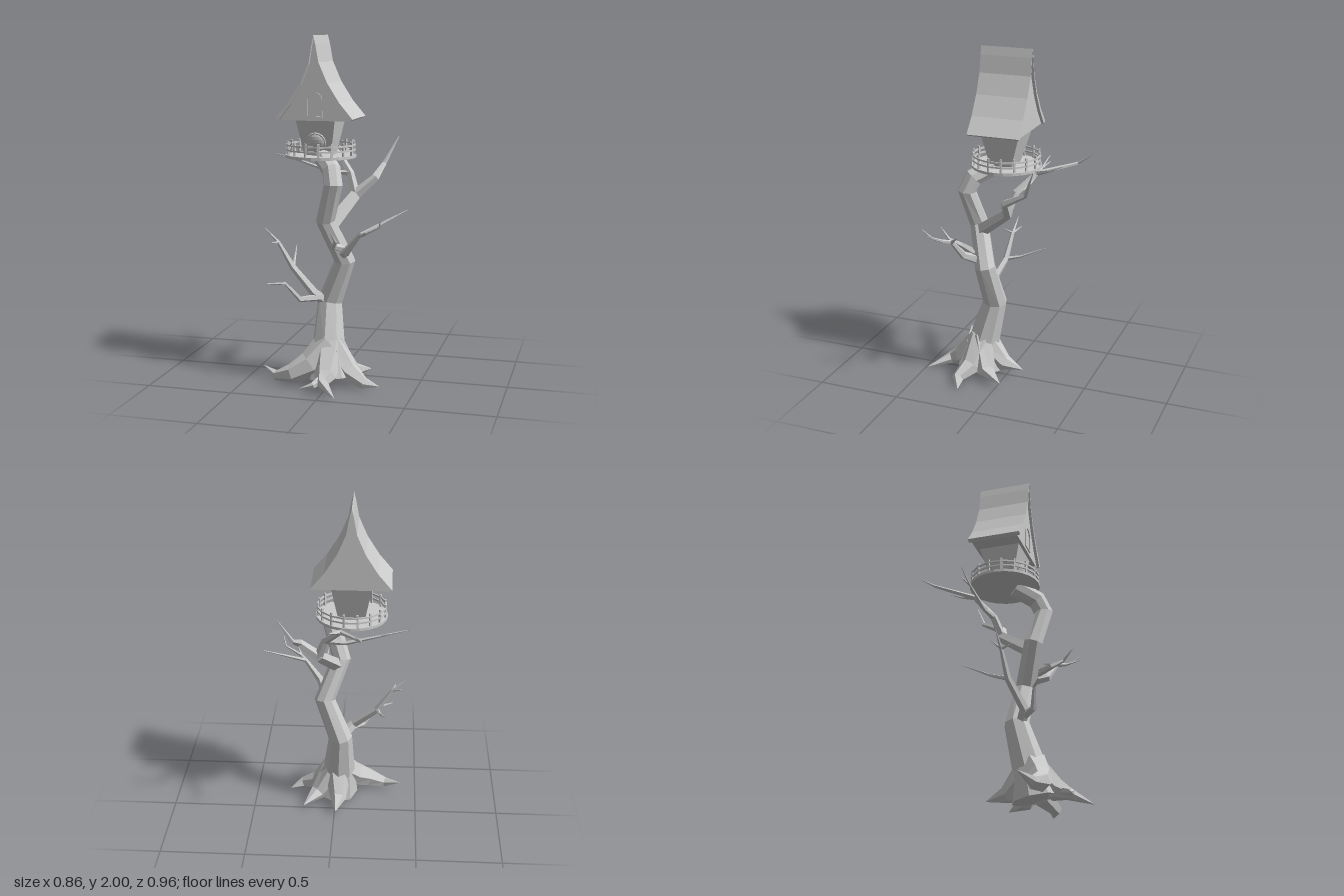
import * as THREE from 'three';

const mat = new THREE.MeshStandardMaterial({ color: 0xcccccc, flatShading: true });

function add(parent, name, geometry, x = 0, y = 0, z = 0) {
  const mesh = new THREE.Mesh(geometry, mat);
  mesh.name = name;
  mesh.position.set(x, y, z);
  parent.add(mesh);
  return mesh;
}

// Faceted limb through [x, y, z] points, closed at both ends; radiusAt(t) gives its thickness
function limb(points, radiusAt, sides) {
  const centers = points.map(p => new THREE.Vector3(...p));
  const q = new THREE.Quaternion();
  const pos = [], index = [];
  const last = centers.length - 1;
  centers.forEach((c, i) => {
    const tangent = new THREE.Vector3();
    if (i > 0) tangent.add(c.clone().sub(centers[i - 1]).normalize());
    if (i < last) tangent.add(centers[i + 1].clone().sub(c).normalize());
    const current = new THREE.Vector3(0, 1, 0).applyQuaternion(q);
    q.premultiply(new THREE.Quaternion().setFromUnitVectors(current, tangent.normalize()));
    const r = radiusAt(i / last, c.y);
    for (let j = 0; j < sides; j++) {
      const a = (j / sides) * Math.PI * 2;
      const v = new THREE.Vector3(Math.cos(a) * r, 0, Math.sin(a) * r).applyQuaternion(q).add(c);
      pos.push(v.x, v.y, v.z);
    }
  });
  pos.push(...centers[0].toArray(), ...centers[last].toArray());
  const c0 = (last + 1) * sides, c1 = c0 + 1;
  for (let j = 0; j < sides; j++) {
    const k = (j + 1) % sides;
    for (let i = 0; i < last; i++) {
      const a = i * sides + j, b = i * sides + k, c = a + sides, d = b + sides;
      index.push(a, c, d, a, d, b);
    }
    index.push(c0, j, k, c1, last * sides + k, last * sides + j);
  }
  const g = new THREE.BufferGeometry();
  g.setAttribute('position', new THREE.Float32BufferAttribute(pos, 3));
  g.setIndex(index);
  g.computeVertexNormals();
  return g;
}

function buildTree(tree) {
  // Trunk flares towards the ground
  const trunkRadius = (t, y) => 0.055 + 0.02 * Math.max(0, 1 - y) + 0.075 * Math.exp(-y * 5);
  add(tree, 'trunk', limb([
    [0, 0.04, 0.18], [-0.02, 0.2, 0.155], [-0.03, 0.47, 0.085], [0.065, 0.72, 0.11],
    [-0.03, 0.96, 0.185], [0.03, 1.17, 0.235], [0.01, 1.25, 0.2], [-0.07, 1.31, 0.09]], trunkRadius, 8));

  // Pointed limbs; each returns its points so that forks can start from them
  const pointed = (name, sides) => (radius, ...points) => {
    add(tree, name, limb(points, t => Math.max(0.002, radius * (1 - t) ** 0.85), sides));
    return points;
  };

  const root = pointed('root', 6);
  const base = [-0.01, 0.22, 0.16];
  root(0.1, base, [-0.11, 0.12, 0.23], [-0.21, 0.07, 0.265], [-0.31, 0.045, 0.25], [-0.4, 0.08, 0.195]);
  const frontRoot = root(0.09, base, [0, 0.08, 0.3], [0, 0.055, 0.365], [0.1, 0.015, 0.48]);
  root(0.035, frontRoot[1], [-0.05, 0.05, 0.39], [-0.125, 0.03, 0.405]);
  root(0.09, base, [0.11, 0.08, 0.19], [0.21, 0.035, 0.235], [0.29, 0.012, 0.2]);
  root(0.09, base, [0.11, 0.06, 0.09], [0.19, 0.04, -0.03]);
  root(0.09, base, [-0.02, 0.07, 0.02], [-0.01, 0.05, -0.1]);

  const branch = pointed('branch', 5);
  // Upper branch with forks behind the platform
  const upper = branch(0.043, [-0.01, 0.92, 0.17], [0.09, 1.08, -0.04], [0.2, 1.18, -0.07], [0.225, 1.25, -0.2], [0.3, 1.41, -0.27]);
  const back = branch(0.028, upper[1], [0.05, 1.2, -0.08], [-0.04, 1.3, -0.17], [-0.16, 1.35, -0.38], [-0.135, 1.42, -0.475]);
  branch(0.015, back[2], [-0.005, 1.33, -0.25], [0.01, 1.37, -0.34]);
  const side = branch(0.018, back[1], [-0.07, 1.2, -0.1], [-0.27, 1.26, -0.12], [-0.42, 1.3, -0.12]);
  branch(0.007, side[2], [-0.33, 1.29, -0.155]);

  // Middle branch
  const middle = branch(0.033, [0.06, 0.76, 0.13], [0.1, 0.79, 0.23], [0.19, 0.9, 0.265], [0.43, 1.03, 0.12]);
  const fork = branch(0.014, middle[2], [0.22, 0.91, 0.31], [0.315, 0.96, 0.33], [0.335, 1.01, 0.38]);
  branch(0.009, fork[1], [0.25, 0.94, 0.39]);
  branch(0.024, [0.06, 0.8, 0.17], [0.04, 0.83, 0.27], [0.07, 0.87, 0.335], [0.055, 0.93, 0.395]);

  // Lower branches
  const lower = branch(0.036, [-0.03, 0.45, 0.1], [-0.11, 0.53, 0.15], [-0.25, 0.66, 0.1], [-0.34, 0.8, 0.09], [-0.425, 0.88, 0.085]);
  branch(0.009, lower[3], [-0.395, 0.83, 0.05]);
  branch(0.009, lower[3], [-0.36, 0.81, 0.155]);
  branch(0.014, lower[2], [-0.27, 0.68, 0.01], [-0.3, 0.745, -0.14]);
  branch(0.025, [-0.05, 0.5, 0.12], [-0.17, 0.5, 0.22], [-0.25, 0.595, 0.25], [-0.345, 0.6, 0.3]);
}

function buildPlatform(house) {
  add(house, 'platform', new THREE.CylinderGeometry(0.205, 0.205, 0.016, 24), 0, 1.313, 0);
  const n = 16, r = 0.194, length = 2 * r * Math.sin(Math.PI / n) + 0.008;
  const place = (name, size, a, y) => {
    add(house, name, new THREE.BoxGeometry(...size), Math.sin(a) * r, y, Math.cos(a) * r).rotation.y = a;
  };
  for (let i = 0; i < n; i++) {
    const a = (i / n) * Math.PI * 2;
    place('railingPost', [0.011, 0.08, 0.011], a + Math.PI / n, 1.358);
    for (const y of [1.35, 1.378]) place('rail', [length, 0.01, 0.007], a, y);
  }
}

function extrude(shape, z0, z1) {
  const g = new THREE.ExtrudeGeometry(shape, { depth: z1 - z0, bevelEnabled: false, curveSegments: 6 });
  return g.translate(0, 0, z0);
}

function archShape(w, y0, y1) {
  const s = new THREE.Shape();
  s.moveTo(-w, y0);
  s.lineTo(w, y0);
  s.absarc(0, y1, w, 0, Math.PI, false);
  s.closePath();
  return s;
}

function buildHouse(house) {
  // Walls widen towards the roof
  const walls = new THREE.BoxGeometry(0.24, 0.24, 0.254);
  const p = walls.attributes.position;
  for (let i = 0; i < p.count; i++) {
    if (p.getY(i) < 0) p.setXYZ(i, p.getX(i) * 0.64, p.getY(i), p.getZ(i) * 0.5 + 0.008);
  }
  walls.computeVertexNormals();
  add(house, 'walls', walls, 0, 1.435, 0);

  // Round door, tilted with the leaning front wall
  const door = new THREE.Group();
  door.name = 'door';
  door.position.set(0, 1.4, 0.1);
  door.rotation.x = 0.26;
  house.add(door);
  add(door, 'doorFrame', new THREE.TorusGeometry(0.051, 0.007, 6, 16));
  add(door, 'doorPanel', new THREE.SphereGeometry(0.05, 16, 8)).scale.z = 0.35;

  // Curved roof shell, its underside offset inwards, around a recessed gable
  const slope = [[0, 2], [0.012, 1.95], [0.03, 1.85], [0.08, 1.735], [0.15, 1.625], [0.226, 1.535]];
  const outer = slope.map(([w, y]) => new THREE.Vector2(w, y));
  const inner = slope.map(([w, y]) => new THREE.Vector2(w * 0.9, y - 0.012));
  const mirror = list => list.map(v => new THREE.Vector2(-v.x, v.y));
  const shell = new THREE.Shape([
    ...mirror(outer), ...mirror(inner).reverse(), ...inner.slice(1), ...outer.slice(1).reverse()]);
  add(house, 'roof', extrude(shell, -0.155, 0.155));
  const gable = new THREE.Shape([...mirror(inner), ...inner.slice(1).reverse()]);
  add(house, 'gable', extrude(gable, -0.138, 0.138));

  // Arched attic window frame
  const frame = archShape(0.047, 1.54, 1.638);
  frame.holes.push(archShape(0.039, 1.55, 1.638));
  add(house, 'windowFrame', extrude(frame, 0.136, 0.145));
}

export function createModel() {
  const model = new THREE.Group();
  model.name = 'treeHouse';
  buildTree(model);
  const house = new THREE.Group();
  house.name = 'house';
  house.position.set(-0.097, 0, 0.036);
  model.add(house);
  buildPlatform(house);
  buildHouse(house);
  return model;
}
